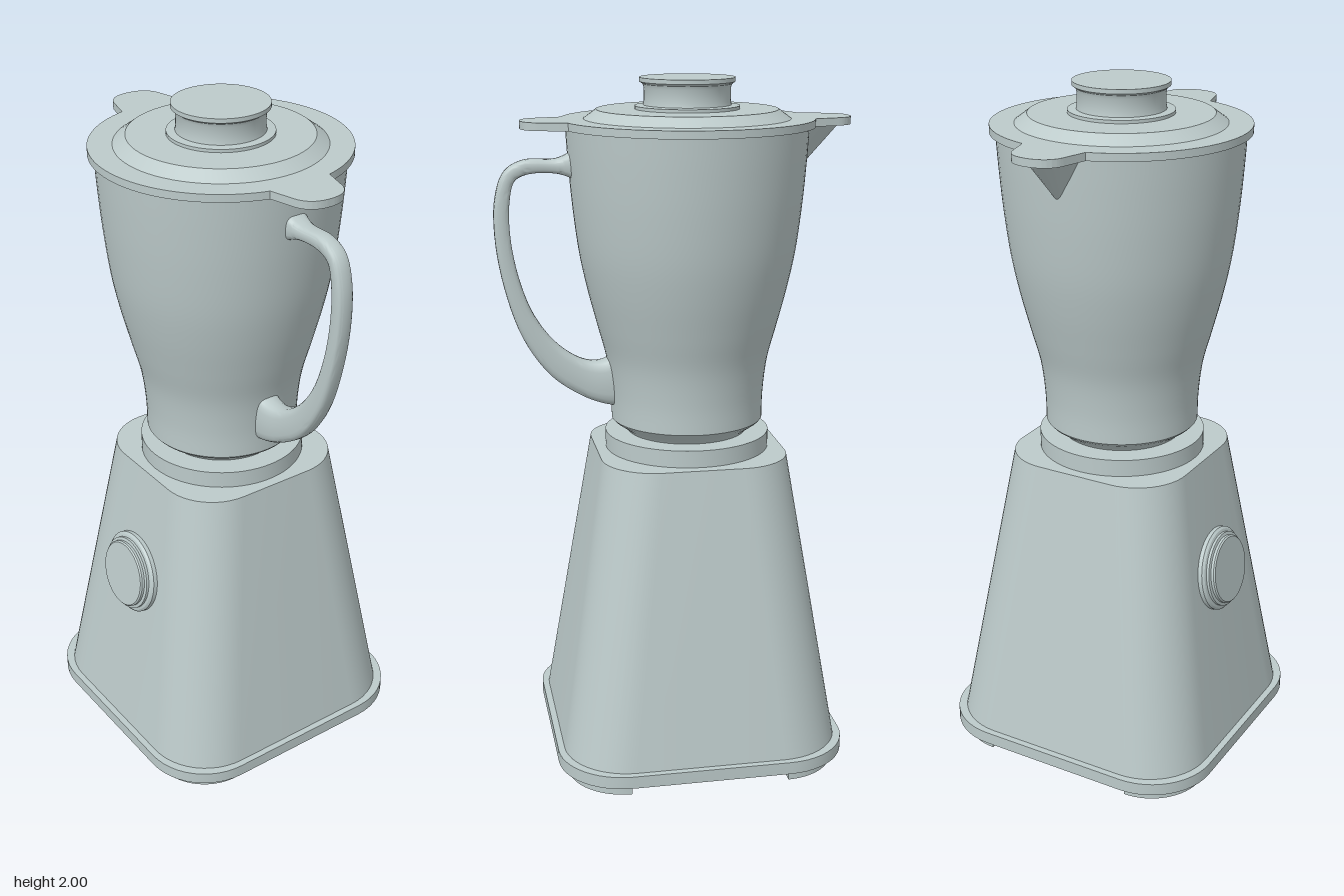
import * as THREE from 'three';
import { toCreasedNormals } from 'three/addons/utils/BufferGeometryUtils.js';

const CX = -0.043; // x of the main axis

// Skin a list of closed rings (counter-clockwise about the direction of travel), with caps
function loft(rings) {
  const n = rings[0].length, pos = [], idx = [];
  rings.forEach(r => r.forEach(p => pos.push(p.x, p.y, p.z)));
  for (let i = 0; i < rings.length - 1; i++) {
    for (let j = 0; j < n; j++) {
      const a = i * n + j, b = i * n + (j + 1) % n;
      idx.push(a, b, b + n, a, b + n, a + n);
    }
  }
  const end = (rings.length - 1) * n;
  for (let j = 1; j < n - 1; j++) {
    idx.push(0, j + 1, j);
    idx.push(end, end + j, end + j + 1);
  }
  const g = new THREE.BufferGeometry();
  g.setAttribute('position', new THREE.Float32BufferAttribute(pos, 3));
  g.setIndex(idx);
  return g;
}

// Rounded square ring of half width h and corner radius r at height y
function squareRing(h, r, y, steps = 12) {
  const ring = [];
  for (let q = 0; q < 4; q++) {
    const mid = (q + 0.5) * Math.PI / 2;
    const ox = Math.sign(Math.cos(mid)) * (h - r), oz = Math.sign(Math.sin(mid)) * (h - r);
    for (let k = 0; k <= steps; k++) {
      const t = (q + k / steps) * Math.PI / 2;
      ring.push(new THREE.Vector3(ox + r * Math.cos(t), y, -oz - r * Math.sin(t)));
    }
  }
  return ring;
}

function ellipseRing(x, y, a, b, n = 24) {
  return Array.from({ length: n }, (_, i) => {
    const t = i / n * Math.PI * 2;
    return new THREE.Vector3(x + a * Math.cos(t), y, -b * Math.sin(t));
  });
}

function lathe(points, segments = 72) {
  return new THREE.LatheGeometry(points.map(p => new THREE.Vector2(p[0], p[1])), segments);
}

export function createModel() {
  const model = new THREE.Group();
  model.name = 'blender';
  const body = new THREE.Group();
  body.name = 'body';
  body.position.x = CX;
  model.add(body);

  const paleGrey = new THREE.MeshStandardMaterial({ color: 0xbccaca });
  paleGrey.name = 'paleGrey';

  const add = (name, geometry, parent = body) => {
    const mesh = new THREE.Mesh(toCreasedNormals(geometry, 0.5), paleGrey);
    mesh.name = name;
    parent.add(mesh);
    return mesh;
  };

  // Base plate and tapered motor housing
  add('basePlate', loft([squareRing(0.427, 0.195, 0.035), squareRing(0.427, 0.195, 0.072)]));
  add('motorHousing', loft([squareRing(0.408, 0.19, 0.07), squareRing(0.272, 0.155, 0.93)]));

  // Four curved feet following the plate corners
  for (let q = 0; q < 4; q++) {
    const a = q * Math.PI / 2, s = new THREE.Shape();
    s.absarc(0, 0, 0.165, a, a + Math.PI / 2, false);
    s.absarc(0, 0, 0.125, a + Math.PI / 2, a, true);
    const foot = add('foot', new THREE.ExtrudeGeometry(s, { depth: 0.037, bevelEnabled: false, curveSegments: 12 })
      .rotateX(-Math.PI / 2));
    const mid = a + Math.PI / 4;
    foot.position.set(0.232 * Math.sign(Math.cos(mid)), 0, -0.232 * Math.sign(Math.sin(mid)));
  }

  // Round collar on the housing
  add('collar', lathe([[0, 0.925], [0.241, 0.925], [0.241, 0.98], [0, 0.98]]));

  // Control dial, tilted to lie on the sloping front
  const dial = add('dial', lathe([
    [0, -0.01], [0.124, -0.01], [0.124, 0.012], [0.118, 0.018], [0.11, 0.02],
    [0.11, 0.028], [0.101, 0.03], [0.101, 0.038], [0.097, 0.042], [0, 0.042],
  ], 48));
  dial.position.set(0, 0.592, 0.326);
  dial.rotation.x = Math.PI / 2 - Math.atan2(0.136, 0.86);

  // Jar with a waisted wall
  const wall = new THREE.SplineCurve([
    [0.222, 1.02], [0.224, 1.1], [0.236, 1.2], [0.262, 1.3], [0.29, 1.41],
    [0.312, 1.52], [0.328, 1.65], [0.338, 1.77], [0.344, 1.868],
  ].map(p => new THREE.Vector2(p[0], p[1]))).getPoints(40).map(p => [p.x, p.y]);
  add('jar', lathe([...wall, [0, 1.868]]));
  add('jarFoot', lathe([[0, 0.975], [0.172, 0.975], [0.178, 0.986], [0.215, 1.012], [0.222, 1.02], [0, 1.02]]));

  // Pouring spout
  add('spout', loft([
    ellipseRing(-0.322, 1.745, 0.01, 0.008),
    ellipseRing(-0.32, 1.868, 0.122, 0.075),
  ]));

  // Lid plate with a tab on each side
  const lid = new THREE.Shape(), a = Math.asin(0.095 / 0.36);
  lid.moveTo(0.347, 0.095);
  for (const s of [1, -1]) {
    lid.lineTo(s * 0.42, s * 0.076);
    lid.bezierCurveTo(s * 0.455, s * 0.066, s * 0.472, s * 0.04, s * 0.472, 0);
    lid.bezierCurveTo(s * 0.472, -s * 0.04, s * 0.455, -s * 0.066, s * 0.42, -s * 0.076);
    lid.lineTo(s * 0.347, -s * 0.095);
    const from = s > 0 ? -a : Math.PI - a;
    lid.absarc(0, 0, 0.36, from, from - Math.PI + 2 * a, true);
  }
  add('lidPlate', new THREE.ExtrudeGeometry(lid, { depth: 0.022, bevelEnabled: false, curveSegments: 36 })
    .rotateX(-Math.PI / 2)).position.y = 1.865;

  // Raised lid centre and measuring cap
  add('lidCentre', lathe([[0, 1.88], [0.295, 1.885], [0.257, 1.913], [0, 1.913]]));
  add('cap', lathe([
    [0, 1.91], [0.148, 1.91], [0.148, 1.922], [0.124, 1.924], [0.122, 1.935],
    [0.122, 1.972], [0.126, 1.982], [0.135, 1.988], [0.135, 2], [0, 2],
  ]));

  // Handle: [outer x, outer y, inner x, inner y, half thickness in z]
  const stations = [
    [0.27, 1.815, 0.27, 1.715, 0.04],
    [0.302, 1.792, 0.302, 1.732, 0.033],
    [0.335, 1.781, 0.335, 1.741, 0.027],
    [0.42, 1.78, 0.41, 1.74, 0.025],
    [0.475, 1.75, 0.447, 1.722, 0.025],
    [0.503, 1.68, 0.462, 1.67, 0.025],
    [0.508, 1.57, 0.464, 1.575, 0.025],
    [0.485, 1.42, 0.443, 1.45, 0.025],
    [0.435, 1.27, 0.4, 1.335, 0.026],
    [0.36, 1.16, 0.33, 1.245, 0.028],
    [0.27, 1.095, 0.255, 1.2, 0.032],
    [0.21, 1.07, 0.2, 1.2, 0.038],
    [0.165, 1.06, 0.165, 1.225, 0.042],
  ];
  const curve = f => new THREE.CatmullRomCurve3(stations.map(f)).getPoints(60);
  const outer = curve(s => new THREE.Vector3(s[0], s[1], s[4]));
  const inner = curve(s => new THREE.Vector3(s[2], s[3], s[4]));
  const soft = v => Math.sign(v) * Math.abs(v) ** 0.6;
  add('handle', loft(outer.map((o, i) => {
    const c = inner[i];
    return Array.from({ length: 20 }, (_, k) => {
      const t = k / 20 * Math.PI * 2, u = 0.5 + 0.5 * soft(Math.cos(t));
      return new THREE.Vector3(c.x + (o.x - c.x) * u, c.y + (o.y - c.y) * u, o.z * soft(Math.sin(t)));
    });
  })), model);

  return model;
}
